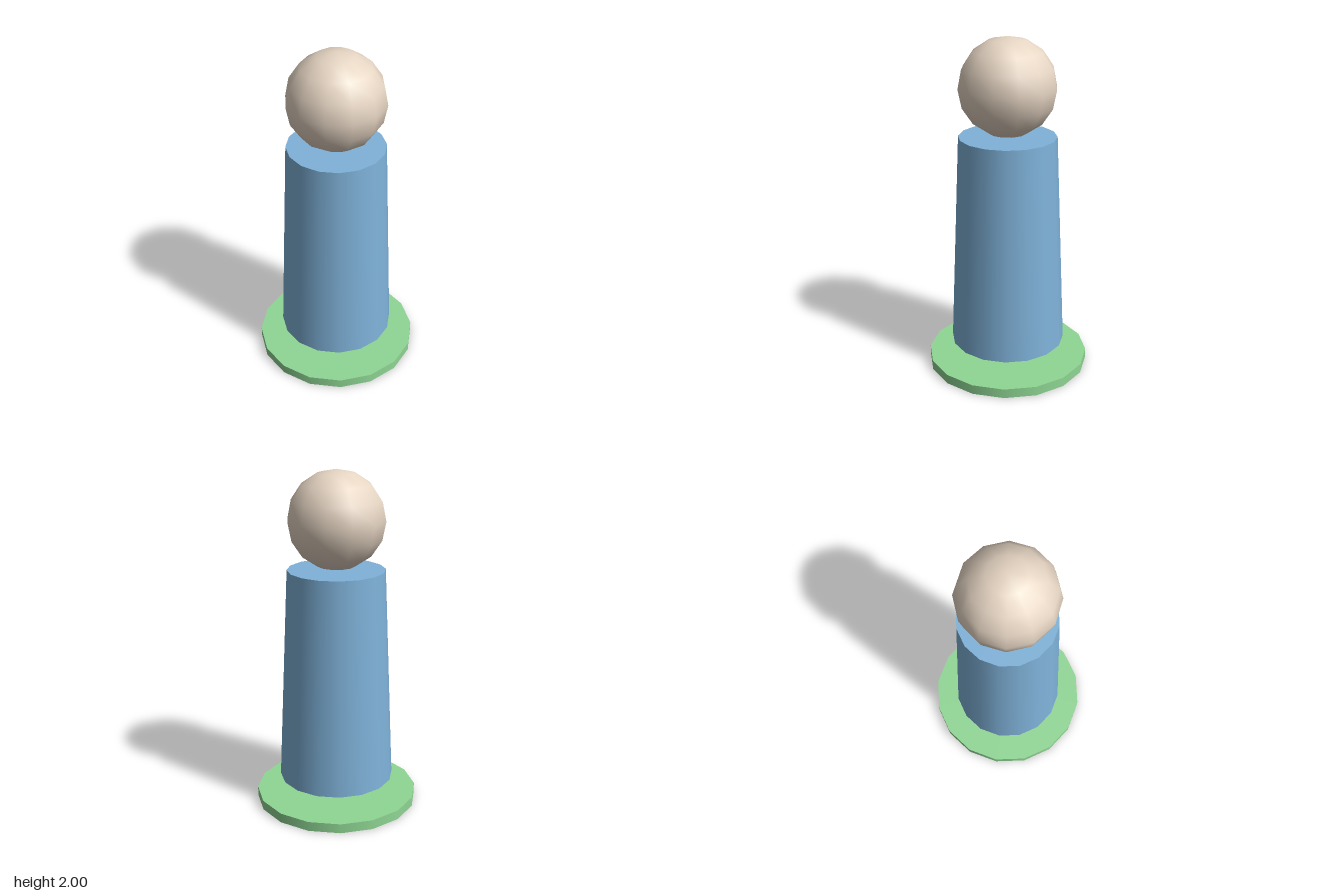
import * as THREE from 'three';

export function createModel() {
  const group = new THREE.Group();

  const add = (name, geometry, color, y) => {
    const mesh = new THREE.Mesh(geometry, new THREE.MeshStandardMaterial({ color }));
    mesh.name = name;
    mesh.position.y = y;
    group.add(mesh);
  };

  // Flat round base disc
  add('base', new THREE.CylinderGeometry(0.485, 0.485, 0.057, 16), 0x8fd694, 0.0285);

  // Tapered body floating above the base
  add('body', new THREE.CylinderGeometry(0.285, 0.342, 1.28, 16), 0x7fb2d9, 0.79);

  // Round head resting on the body
  add('head', new THREE.SphereGeometry(0.285, 12, 8), 0xe6d5c3, 1.715);

  return group;
}
